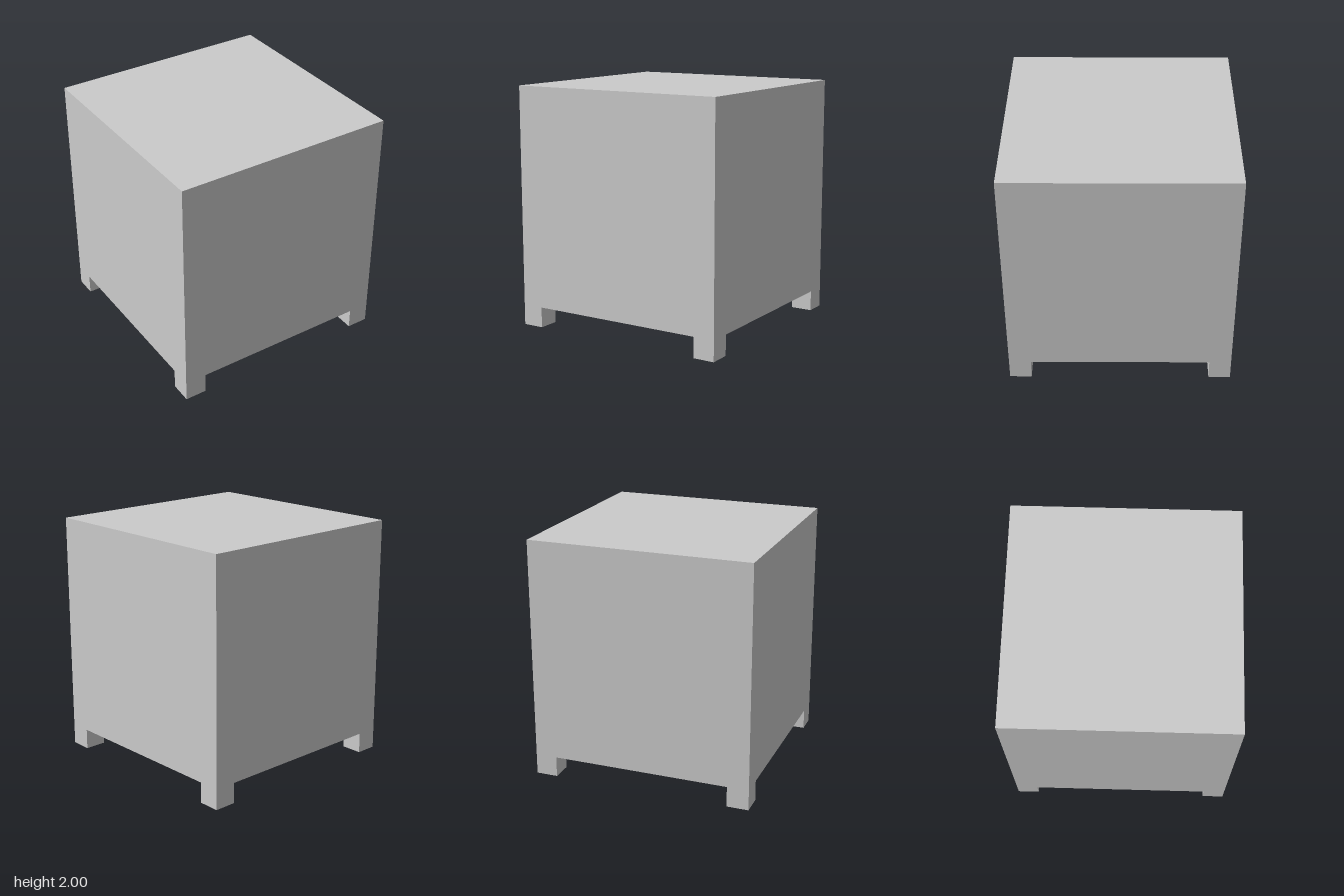
import * as THREE from 'three';

export function createModel() {
  const group = new THREE.Group();
  const material = new THREE.MeshStandardMaterial({ color: 0xcccccc, flatShading: true });
  const width = 1.84, height = 2, legHeight = 0.17, legWidth = 0.18;

  const addBox = (name, w, h, x, y, z) => {
    const mesh = new THREE.Mesh(new THREE.BoxGeometry(w, h, w), material);
    mesh.name = name;
    mesh.position.set(x, y, z);
    group.add(mesh);
  };

  // Solid square body
  addBox('body', width, height - legHeight, 0, (height + legHeight) / 2, 0);

  // Four short legs, flush with the body's corners
  const offset = (width - legWidth) / 2;
  for (const [side, sx] of [['Left', 1], ['Right', -1]]) {
    for (const [end, sz] of [['front', 1], ['back', -1]]) {
      addBox(`${end}${side}Leg`, legWidth, legHeight, sx * offset, legHeight / 2, sz * offset);
    }
  }
  return group;
}
